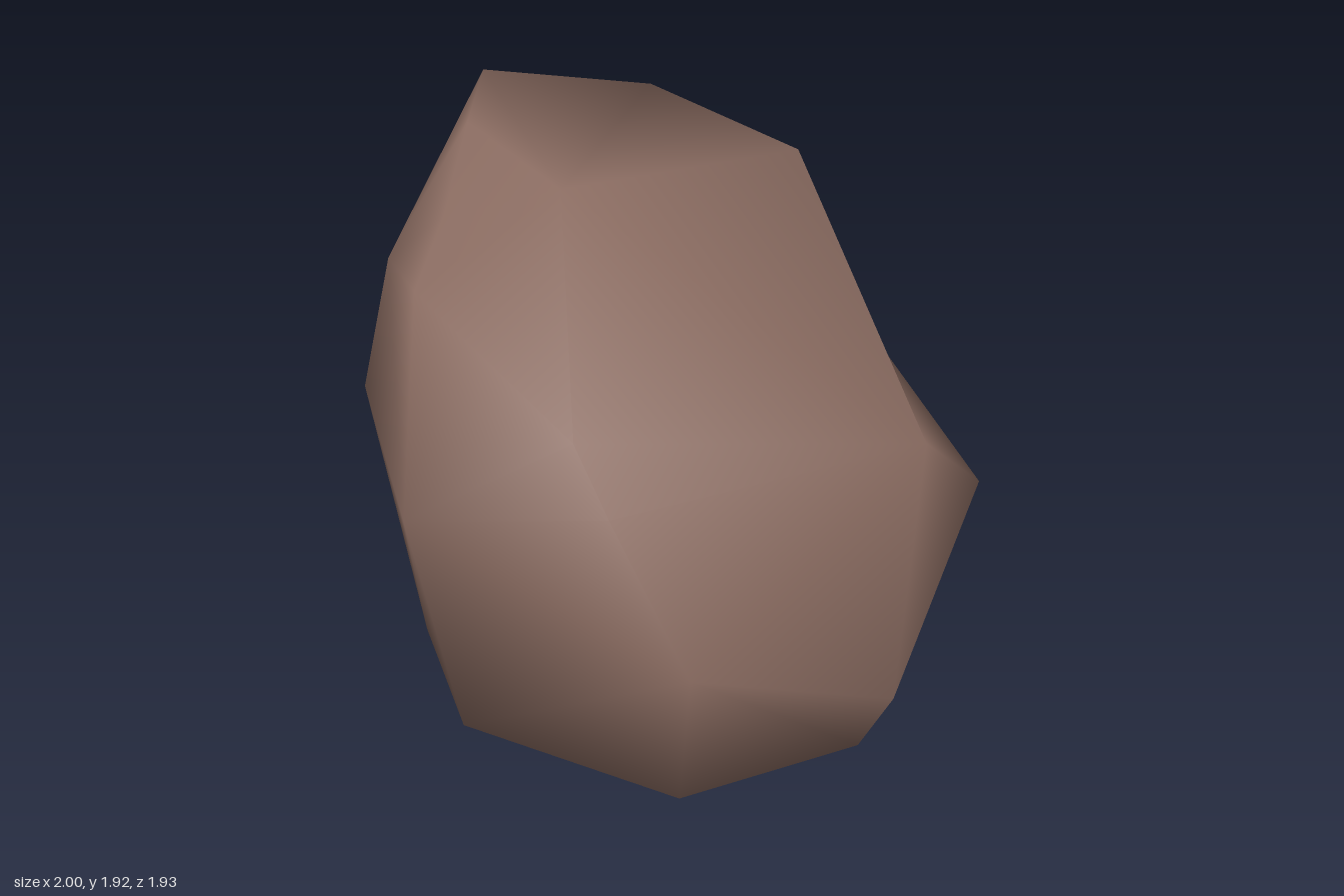
import * as THREE from 'three';
import { ConvexGeometry } from 'three/addons/geometries/ConvexGeometry.js';
import { mergeVertices } from 'three/addons/utils/BufferGeometryUtils.js';

// Corners of the boulder, level by level
const BASE = [
  [-0.21, 0.01, 0.83], [0.6, 0.01, 0.78], [0.93, 0.01, 0.22], [0.78, 0.02, -0.42],
  [0.42, 0.01, -0.75], [-0.33, 0.01, -0.8], [-0.77, 0.02, -0.3], [-0.65, 0.02, 0.45],
];
const BELLY = [
  [1, 0.16, 0.12], [0.69, 0.53, 0.86], [0.45, 1.06, 0.94], [-0.31, 0.82, 0.965],
  [-0.86, 0.92, 0.46], [-0.9, 1.04, -0.23], [-1, 0.79, -0.38], [-0.54, 0.49, -0.965],
  [-0.2, 0.62, -0.89], [0.27, 0.85, -0.965], [0.9, 0.58, -0.63], [0.87, 0.88, -0.28],
];
const CROWN = [
  [0.22, 1.18, 0.79], [-0.35, 1.55, 0.81], [-0.74, 1.42, 0.45], [-0.46, 1.66, 0.51],
  [-0.1, 1.79, 0.38], [0.2, 1.66, -0.56], [-0.35, 1.79, -0.51], [-0.7, 1.92, -0.04],
  [-0.46, 1.93, 0.37],
];

// Skins the corners as if they lay on a ball, then returns each to its own
// place, so that hollows stay in the surface
function rockGeometry(corners, centre) {
  const points = corners.map((c) => new THREE.Vector3(...c));
  const directions = points.map((p) => p.clone().sub(centre).normalize());
  const geometry = new ConvexGeometry(directions);
  const position = geometry.attributes.position;
  const v = new THREE.Vector3();
  for (let i = 0; i < position.count; i++) {
    v.fromBufferAttribute(position, i);
    let nearest = 0;
    directions.forEach((d, j) => {
      if (d.distanceToSquared(v) < directions[nearest].distanceToSquared(v)) nearest = j;
    });
    position.setXYZ(i, ...points[nearest].toArray());
  }
  // Shared corners give smooth shading
  geometry.deleteAttribute('normal');
  const smooth = mergeVertices(geometry);
  smooth.computeVertexNormals();
  return smooth;
}

export function createModel() {
  const group = new THREE.Group();
  group.name = 'boulder';

  const stone = new THREE.MeshStandardMaterial({ color: 0x8d6e63 });
  stone.name = 'brown stone';

  const rock = new THREE.Mesh(
    rockGeometry([...BASE, ...BELLY, ...CROWN], new THREE.Vector3(-0.05, 0.85, 0)),
    stone,
  );
  rock.name = 'rock';
  group.add(rock);
  return group;
}
